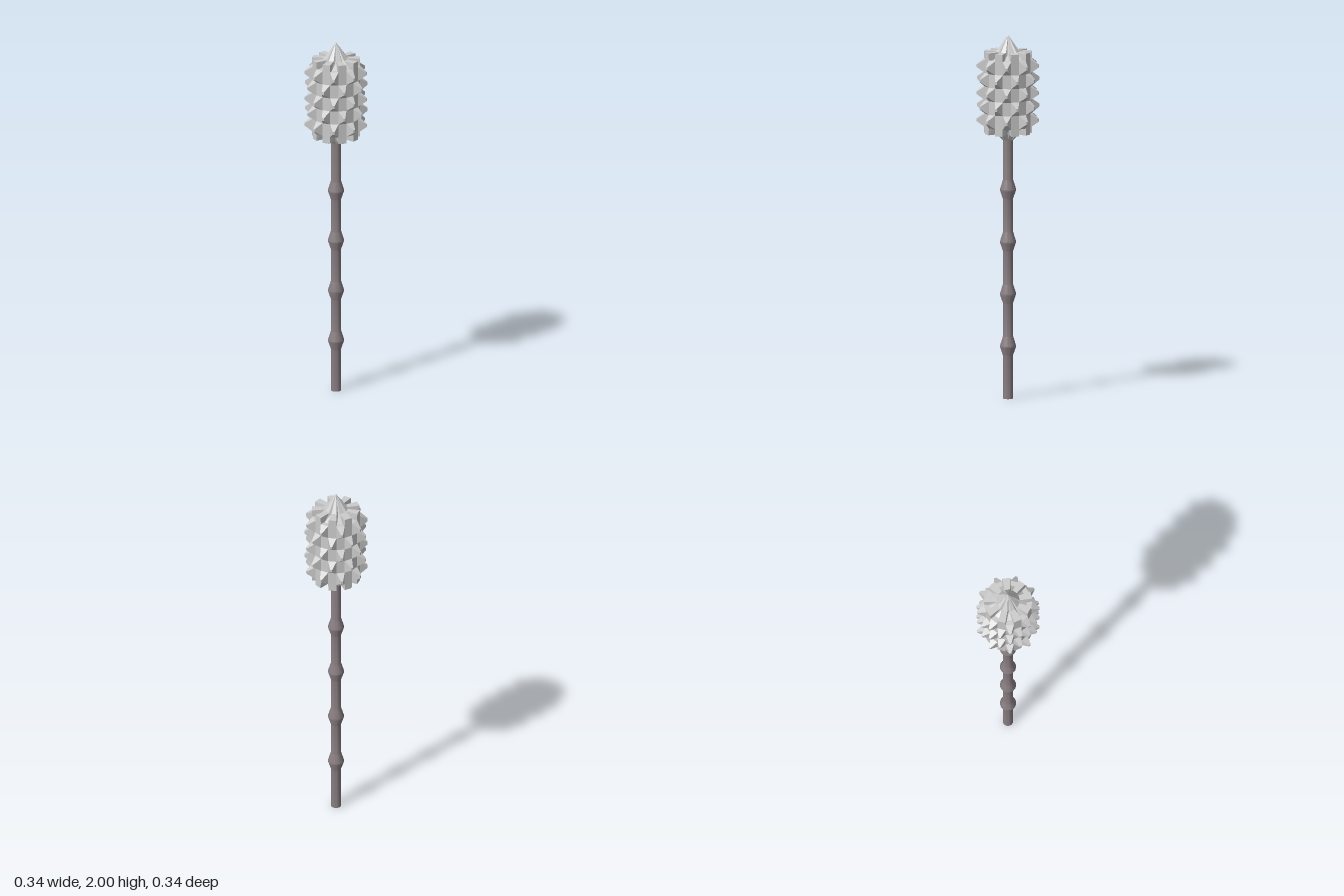
import * as THREE from 'three';
import { toCreasedNormals } from 'three/addons/utils/BufferGeometryUtils.js';

const SIDES = 18, STEP = Math.PI * 2 / SIDES, HALF = STEP / 2;
const MID = 1.685;          // middle height of the head
const ROW = 0.0745;         // height of one row of spikes
const EDGE = 2.5 * ROW;     // end of the spike rows, measured from the middle
const TOP = 0.225;          // end face of the head, measured from the middle
const R = 0.131, R_IN = 0.064, R_TIP = 0.171;

// Point at radius r, angle a (from the back), height h above the head's middle
const point = (r, a, h) => [r * Math.sin(a), MID + h, -r * Math.cos(a)];

function headGeometry() {
  const pos = [];
  const quad = (a, b, c, d) => pos.push(...a, ...b, ...c, ...a, ...c, ...d);
  const patch = (r, a, w, h0, h1) => [
    point(r, a - w, h0), point(r, a - w, h1), point(r, a + w, h1), point(r, a + w, h0)];

  // Checkerboard of blunt pyramids and flat cells
  for (let row = 0; row < 5; row++) {
    const h = (2 - row) * ROW;
    for (let col = 0; col < SIDES; col++) {
      const a = col * STEP;
      const base = patch(R, a, HALF, h - ROW / 2, h + ROW / 2);
      if ((row + col) % 2 === 0) { quad(...base); continue; }
      const tip = patch(R_TIP, a, 0.032, h - 0.008, h + 0.008);
      for (let i = 0; i < 4; i++) {
        const j = (i + 1) % 4;
        quad(base[i], base[j], tip[j], tip[i]);
      }
      quad(...tip);
    }
  }

  // Both ends: blocks alternating with V notches, closed by a fluted cone
  const ends = [
    { s: 1, coneR: 0.0005, coneH: 2 - MID },
    { s: -1, coneR: 0.03, coneH: 0.262 }];
  for (const { s, coneR, coneH } of ends) {
    const face = (...q) => quad(...(s > 0 ? q : [q[0], q[3], q[2], q[1]]));
    const pair = (r, a, w, h) => [point(r, a + w, s * h), point(r, a - w, s * h)];
    for (let col = 0; col < SIDES; col++) {
      const a = col * STEP, block = col % 2 === 0;
      const side = w => block ? w : STEP - w;   // blocks and notches share corners
      const [inL, inR] = pair(R_IN, a, side(0.22), TOP);
      const [topL, topR] = pair(R, a, side(0.165), TOP);
      const [lowL, lowR] = pair(R, a, HALF, EDGE);
      const [endL, endR] = pair(coneR, a, side(0.22), coneH);
      if (block) {
        face(lowR, topR, topL, lowL);
        face(topL, topR, inR, inL);
        face(inL, inR, endR, endL);
      } else {
        const groove = point(0.06, a, s * (TOP - 0.012));
        const end = point(coneR, a, s * coneH);
        const [floorL, floorR] = pair(0.102, a, 0.14, EDGE);
        face(lowL, lowR, floorR, floorL);
        face(topL, lowL, floorL, inL);
        face(floorR, lowR, topR, inR);
        face(inL, floorL, groove, groove);
        face(floorL, floorR, groove, groove);
        face(floorR, inR, groove, groove);
        face(inL, groove, end, endL);
        face(groove, inR, endR, end);
      }
    }
  }
  const g = new THREE.BufferGeometry();
  g.setAttribute('position', new THREE.Float32BufferAttribute(pos, 3));
  g.computeVertexNormals();
  return g;
}

export function createModel() {
  const group = new THREE.Group();
  const metal = new THREE.MeshStandardMaterial({ color: 0xcccccc, flatShading: true });
  const shaft = new THREE.MeshStandardMaterial({ color: 0x8a7f83 });
  const add = (name, geometry, material) => {
    const mesh = new THREE.Mesh(geometry, material);
    mesh.name = name;
    group.add(mesh);
  };

  add('spikedHead', headGeometry(), metal);

  // Handle with four sharp-edged knots
  const profile = [[0, 0], [0.028, 0]];
  for (let i = 0; i < 4; i++) {
    const y = 0.288 + i * 0.287;
    profile.push([0.028, y - 0.05], [0.044, y - 0.003], [0.044, y + 0.003], [0.028, y + 0.054]);
  }
  profile.push([0.028, 1.46]);
  const lathe = new THREE.LatheGeometry(profile.map(p => new THREE.Vector2(...p)), SIDES);
  add('handle', toCreasedNormals(lathe, 0.36), shaft);

  return group;
}
